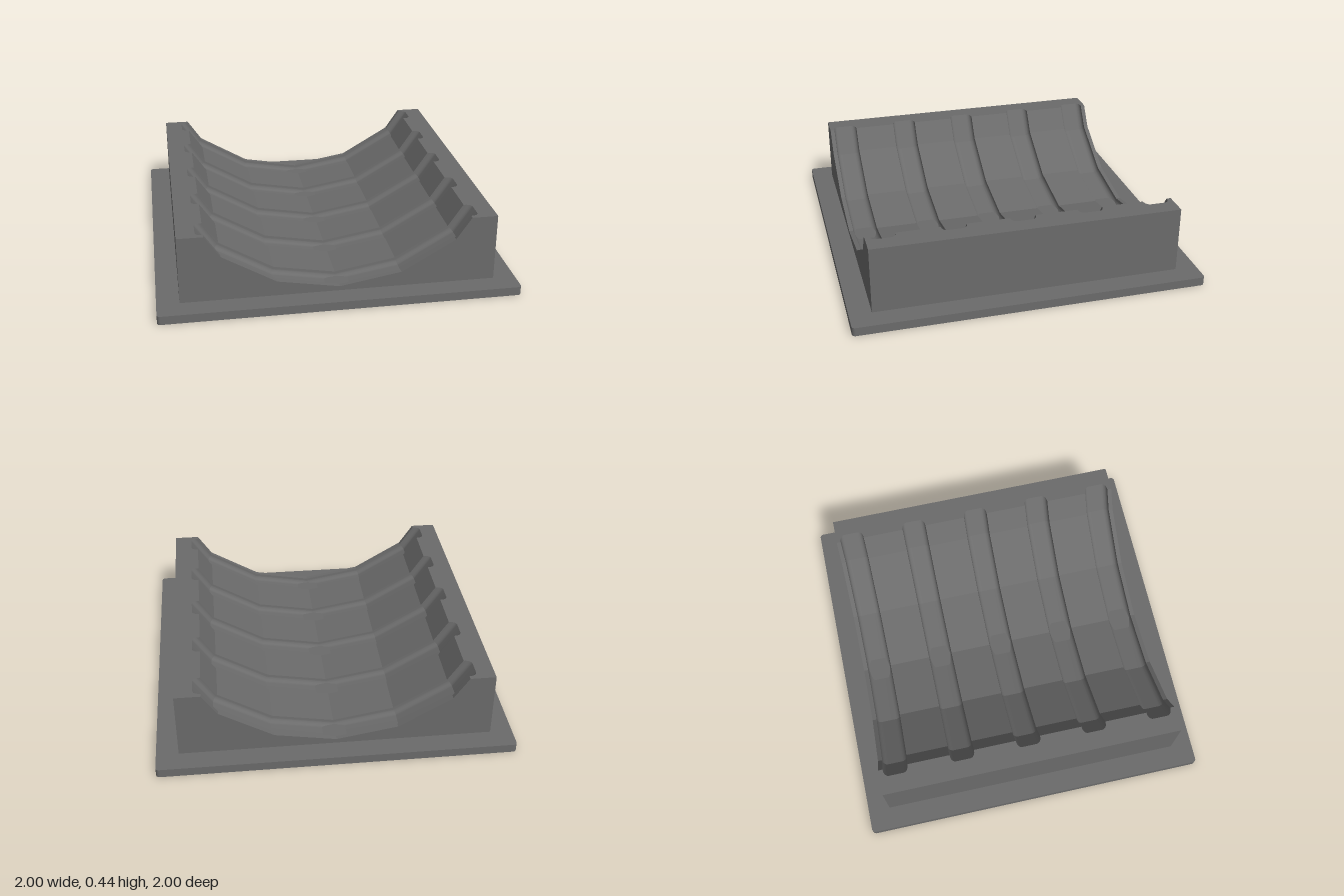
import * as THREE from 'three';
import { toCreasedNormals } from 'three/addons/utils/BufferGeometryUtils.js';

const HALF = 0.875, TOP = 0.435, BASE = 0.05;
const TROUGH = [[0, 0.075], [0.345, 0.135], [0.645, 0.31], [0.73, TOP]];

// Block outline from left to right, with the trough sunk by a perpendicular depth
function outline(depth) {
  const lines = TROUGH.slice(1).map(([x, y], i) => {
    const [px, py] = TROUGH[i];
    const m = (y - py) / (x - px);
    return { m, c: py - m * px - depth * Math.hypot(1, m) };
  });
  const half = [[0, lines[0].c]];
  for (let i = 1; i < lines.length; i++) {
    const a = lines[i - 1], b = lines[i];
    const x = (a.c - b.c) / (b.m - a.m);
    half.push([x, a.m * x + a.c]);
  }
  const last = lines[lines.length - 1];
  half.push([(TOP - last.c) / last.m, TOP], [HALF, TOP], [HALF, BASE]);
  const mirrored = half.slice(1).reverse().map(([x, y]) => [-x, y]);
  return [...mirrored, ...half];
}

// Stations along z: [z, depth], with five round-cornered grooves
function stations() {
  const depth = 0.036, halfWidth = 0.072, r = 0.03, steps = 12;
  const side = [[halfWidth, 0]];
  for (let i = 0; i <= steps; i++) {
    const a = (i / steps) * Math.PI / 2;
    side.push([halfWidth - 0.001 - r * (1 - Math.cos(a)), depth - r * (1 - Math.sin(a))]);
  }
  const list = [[-HALF, 0]];
  for (let g = -2; g <= 2; g++) {
    const z = g * 0.389;
    side.forEach(([o, d]) => list.push([z - o, d]));
    [...side].reverse().forEach(([o, d]) => list.push([z + o, d]));
  }
  list.push([HALF, 0]);
  return list;
}

// Sweep the outline through the stations
function cradleGeometry() {
  const rings = stations().map(([z, d]) => outline(d).map(([x, y]) => [x, y, z]));
  const pos = [];
  for (let s = 0; s < rings.length - 1; s++) {
    const back = rings[s], front = rings[s + 1];
    for (let i = 0; i < back.length - 1; i++) {
      pos.push(...back[i], ...front[i], ...front[i + 1]);
      pos.push(...back[i], ...front[i + 1], ...back[i + 1]);
    }
  }
  const geo = new THREE.BufferGeometry();
  geo.setAttribute('position', new THREE.Float32BufferAttribute(pos, 3));
  return toCreasedNormals(geo, 0.14);
}

// Flat plate with slightly rounded corners
function plateGeometry() {
  const r = 0.02, s = new THREE.Shape();
  for (let i = 0; i < 4; i++) {
    const a = i * Math.PI / 2 + Math.PI / 4;
    const cx = Math.sign(Math.cos(a)) * (1 - r), cy = Math.sign(Math.sin(a)) * (1 - r);
    s.absarc(cx, cy, r, i * Math.PI / 2, (i + 1) * Math.PI / 2, false);
  }
  s.closePath();
  const geo = new THREE.ExtrudeGeometry(s, { depth: BASE, bevelEnabled: false, curveSegments: 6 });
  return geo.rotateX(-Math.PI / 2);
}

export function createModel() {
  const model = new THREE.Group();
  model.name = 'groovedCradle';
  const grey = new THREE.MeshStandardMaterial({ color: 0x6b6b6b });
  grey.name = 'grey';

  const add = (name, geo) => {
    const mesh = new THREE.Mesh(geo, grey);
    mesh.name = name;
    model.add(mesh);
    return mesh;
  };

  add('basePlate', plateGeometry());
  add('groovedTrough', cradleGeometry());

  // End walls
  const endShape = new THREE.Shape(outline(0).map(([x, y]) => new THREE.Vector2(x, y)));
  const endGeo = new THREE.ShapeGeometry(endShape);
  add('frontWall', endGeo).position.z = HALF;
  const backWall = add('backWall', endGeo);
  backWall.position.z = -HALF;
  backWall.rotation.y = Math.PI;

  return model;
}
